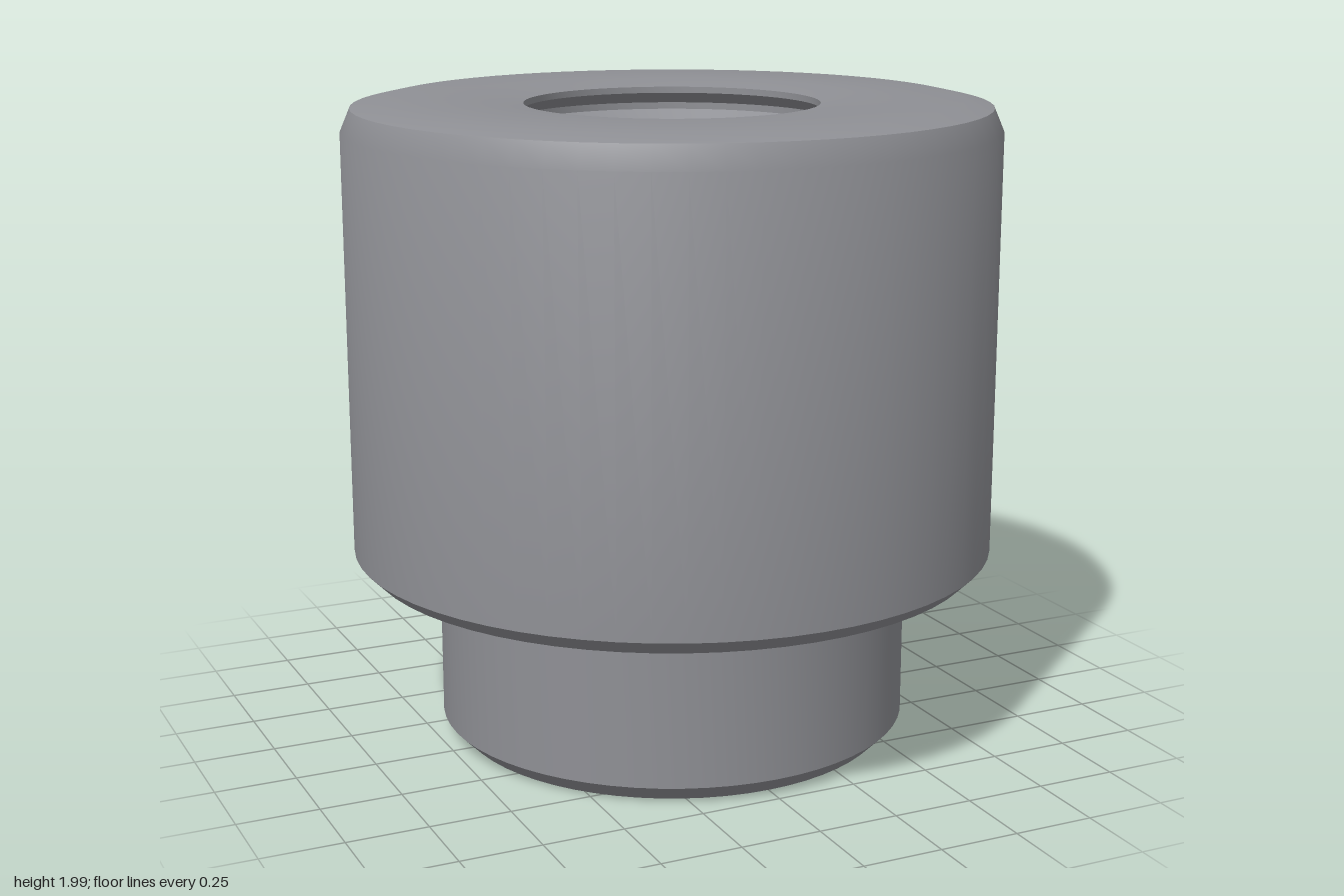
import * as THREE from 'three';
import { toCreasedNormals } from 'three/addons/utils/BufferGeometryUtils.js';

const SEGMENTS = 64;
const HOLE = 0.45;

// Revolve a closed-up profile, keeping sharp chamfer edges
function revolve(name, profile, material) {
  const points = profile.map(([r, y]) => new THREE.Vector2(r, y));
  const geometry = toCreasedNormals(new THREE.LatheGeometry(points, SEGMENTS), 0.5);
  const mesh = new THREE.Mesh(geometry, material);
  mesh.name = name;
  return mesh;
}

export function createModel() {
  const steel = new THREE.MeshStandardMaterial({ color: 0x8f9095 });
  steel.name = 'grey steel';

  const group = new THREE.Group();
  group.name = 'threadedBush';

  // Narrow spigot with a chamfered foot
  group.add(revolve('spigot', [
    [HOLE, 0], [0.68, 0], [0.735, 0.055], [0.735, 0.555],
  ], steel));

  // Wide body with chamfered lower edge, rounded shoulder and softly dished top
  group.add(revolve('body', [
    [0.735, 0.555], [0.955, 0.555], [1, 0.6], [1, 1.9], [0.97, 1.97],
    [0.88, 1.99], [0.58, 1.99], [HOLE, 1.975],
  ], steel));

  // Ring grooves of the thread, from the top of the hole down
  const top = 1.975, turns = 15, pitch = top / turns, depth = 0.05;
  const thread = [[HOLE, top]];
  for (let i = 0; i < turns; i++) {
    const y = top - i * pitch;
    thread.push(
      [HOLE, y - pitch * 0.15],
      [HOLE + depth, y - pitch * 0.42],
      [HOLE + depth, y - pitch * 0.58],
      [HOLE, y - pitch * 0.85],
    );
  }
  thread.push([HOLE, 0]);
  group.add(revolve('threadedHole', thread, steel));

  return group;
}
